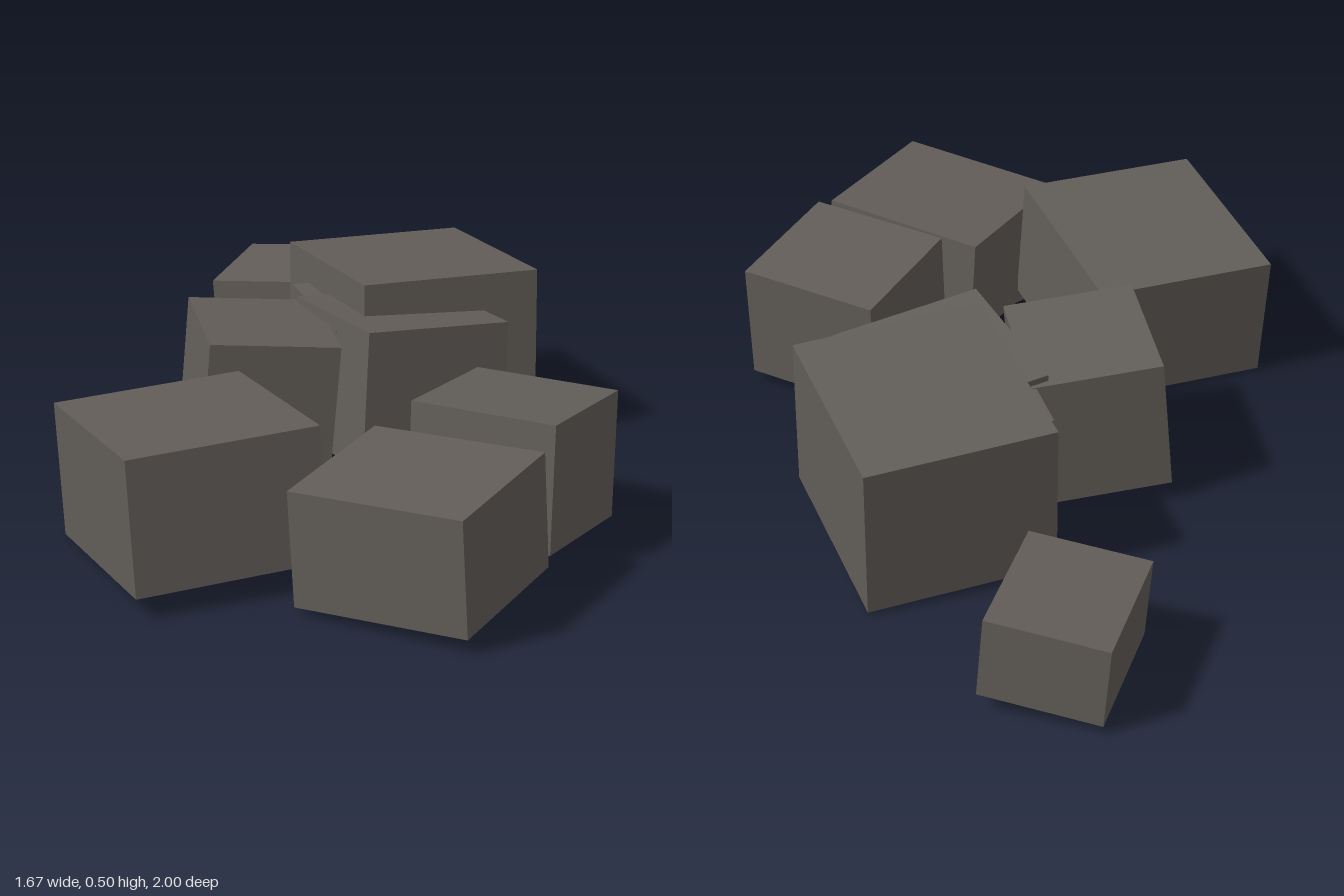
import * as THREE from 'three';

// Each block: name, three top corners (left, front, right), height
const BLOCKS = [
  ['frontBlock', [-0.40, 0.35, 0.67], [0.04, 0.40, 0.99], [0.34, 0.415, 0.60], 0.345],
  ['frontLeftBlock', [0.36, 0.32, 0.79], [0.82, 0.34, 0.77], [0.805, 0.355, 0.335], 0.30],
  ['middleLeftBlock', [0.40, 0.385, 0.275], [0.79, 0.393, 0.255], [0.77, 0.36, -0.115], 0.33],
  ['tallBackBlock', [-0.41, 0.45, -0.455], [0.03, 0.50, -0.12], [0.32, 0.483, -0.52], 0.425],
  ['centreBlock', [-0.22, 0.405, -0.19], [0.135, 0.435, 0.03], [0.345, 0.40, -0.32], 0.37],
  ['middleRightBlock', [-0.455, 0.413, -0.015], [-0.19, 0.42, 0.28], [0.065, 0.39, 0.055], 0.36],
  ['smallBackBlock', [-0.738, 0.25, -0.555], [-0.44, 0.275, -0.635], [-0.535, 0.27, -0.99], 0.22],
  // Blocks mostly buried between their neighbours
  ['buriedBackBlock', [-0.32, 0.38, -0.325], [-0.02, 0.385, -0.06], [0.22, 0.38, -0.35], 0.35],
  ['buriedFrontBlock', [0.35, 0.28, 0.66], [0.55, 0.28, 0.72], [0.60, 0.28, 0.52], 0.25],
];

// Box fitted under its top face, tilted to follow the three corners
function makeBlock(name, a, b, c, height, material) {
  const [A, B, C] = [a, b, c].map((p) => new THREE.Vector3(...p));
  const width = A.distanceTo(B);
  const depth = B.distanceTo(C);
  const right = B.clone().sub(A).normalize();
  const up = right.clone().cross(C.clone().sub(B)).normalize();
  const front = right.clone().cross(up);
  const mesh = new THREE.Mesh(new THREE.BoxGeometry(width, height, depth), material);
  mesh.name = name;
  mesh.quaternion.setFromRotationMatrix(new THREE.Matrix4().makeBasis(right, up, front));
  mesh.position.copy(A).add(C).multiplyScalar(0.5).addScaledVector(up, -height / 2);
  return mesh;
}

export function createModel() {
  const group = new THREE.Group();
  group.name = 'rubblePile';
  const stone = new THREE.MeshStandardMaterial({ color: 0x625d58 });
  stone.name = 'darkStone';
  for (const [name, a, b, c, h] of BLOCKS) group.add(makeBlock(name, a, b, c, h, stone));
  return group;
}
